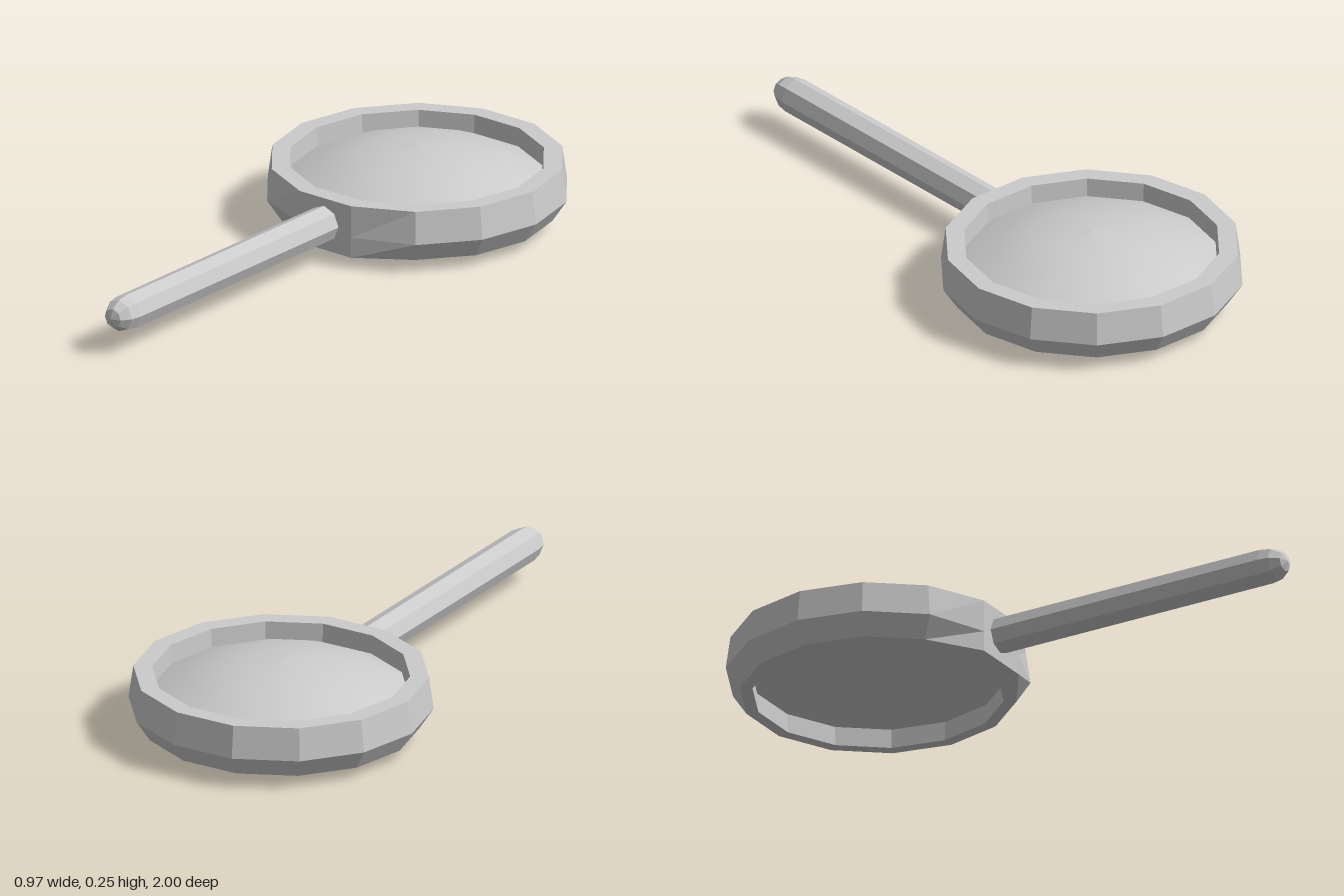
import * as THREE from 'three';

const CENTER_Z = -0.527;
const SIDES = 14;

const points = (list) => list.map(([r, y]) => new THREE.Vector2(r, y));

// Flat-shaded mesh with one normal per facet
function facetedMesh(name, geometry) {
  const flat = geometry.toNonIndexed();
  flat.computeVertexNormals();
  const mesh = new THREE.Mesh(flat, new THREE.MeshStandardMaterial({ color: 0xcccccc, flatShading: true }));
  mesh.name = name;
  return mesh;
}

// Bevelled rim; its two front columns are straightened where the handle joins
function makeRim() {
  const profile = points([[0.4, 0.04], [0.41, 0.215], [0.47, 0.215], [0.485, 0.108], [0.44, 0.04], [0.4, 0.04]]);
  const geo = new THREE.LatheGeometry(profile, SIDES, Math.PI / 2);
  geo.index.array.reverse(); // profile runs inside to outside, so turn the faces outward
  const pos = geo.attributes.position;
  for (let i = 0; i < pos.count; i++) {
    const x = pos.getX(i), z = pos.getZ(i), r = Math.hypot(x, z);
    if (z > 0 && Math.abs(x) < 0.15 && r > 0.43) {
      pos.setX(i, x * 0.47 / r);
      pos.setZ(i, z * 0.47 / r);
    }
  }
  const rim = facetedMesh('rim', geo);
  rim.position.z = CENTER_Z;
  return rim;
}

// Biconvex lens with a smooth surface
function makeLens() {
  const R = 0.865, mid = 0.13, half = 0.125;
  const radii = [0, 0.1, 0.2, 0.3, 0.405];
  const height = (r) => half - (R - Math.sqrt(R * R - r * r));
  const lower = radii.map((r) => [r, mid - height(r)]);
  const upper = radii.map((r) => [r, mid + height(r)]).reverse();
  const material = new THREE.MeshStandardMaterial({ color: 0xcccccc });
  const lens = new THREE.Group();
  lens.name = 'lens';
  for (const [name, half] of [['lensBottom', lower], ['lensTop', upper]]) {
    const mesh = new THREE.Mesh(new THREE.LatheGeometry(points(half), SIDES, Math.PI / 2), material);
    mesh.name = name;
    lens.add(mesh);
  }
  lens.position.z = CENTER_Z;
  return lens;
}

// Octagonal handle with a rounded tip
function makeHandle() {
  const profile = points([[0, -0.08], [0.059, -0.08], [0.059, 0.92], [0.053, 0.957], [0.032, 0.988], [0, 1]]);
  const geo = new THREE.LatheGeometry(profile, 8);
  geo.rotateX(Math.PI / 2);
  const handle = facetedMesh('handle', geo);
  handle.position.set(-0.006, 0.13, 0);
  return handle;
}

export function createModel() {
  const group = new THREE.Group();
  group.name = 'magnifyingGlass';
  group.add(makeRim(), makeLens(), makeHandle());
  return group;
}
